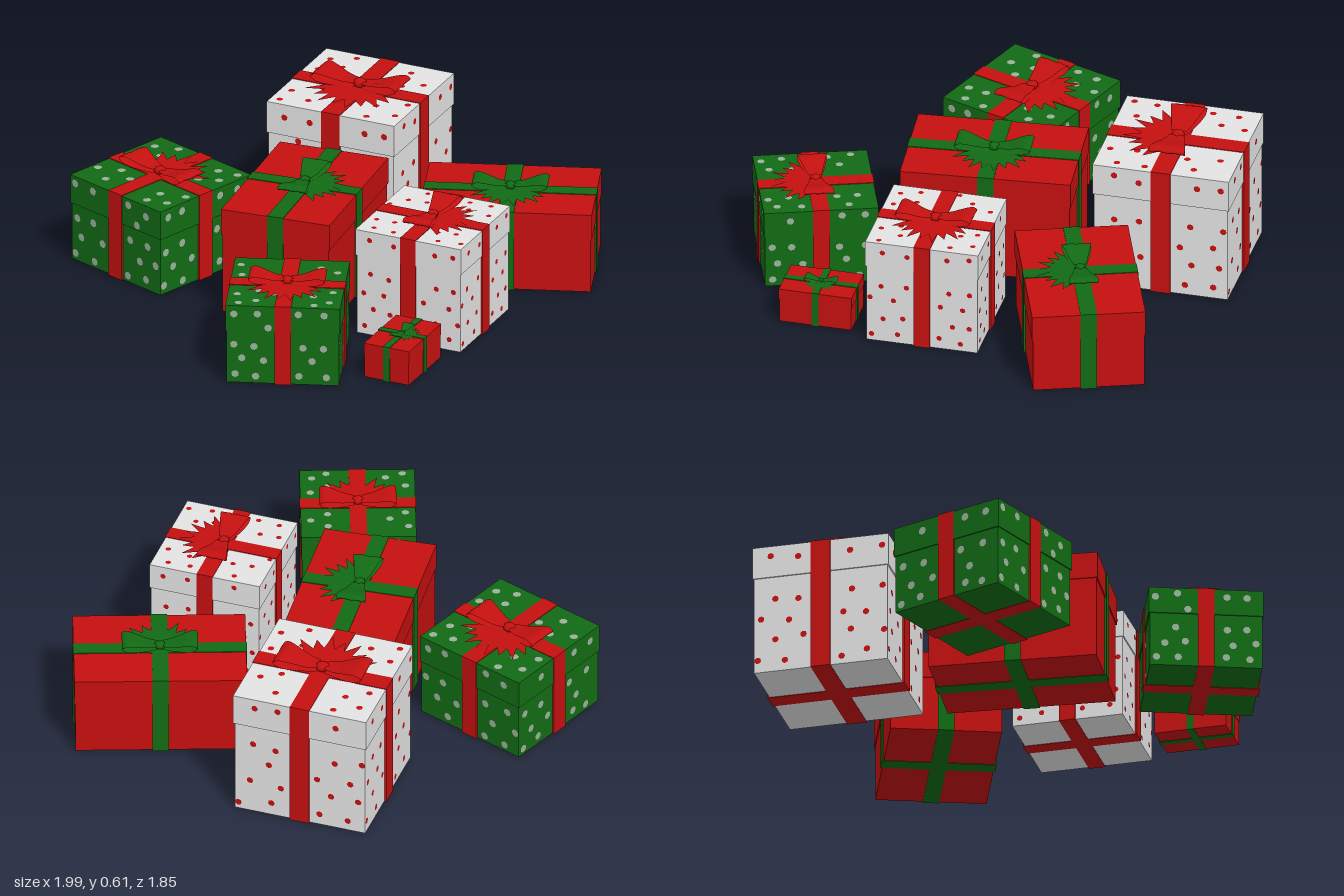
import * as THREE from 'three';
import { mergeGeometries } from 'three/addons/utils/BufferGeometryUtils.js';

const mat = (name, color, side = THREE.FrontSide) => {
  const m = new THREE.MeshStandardMaterial({ color, side });
  m.name = name;
  return m;
};

function seeded(seed) {
  return () => (seed = (seed * 16807) % 2147483647) / 2147483647;
}

function add(group, name, geometry, material, x = 0, y = 0, z = 0) {
  const mesh = new THREE.Mesh(geometry, material);
  mesh.name = name;
  mesh.position.set(x, y, z);
  group.add(mesh);
  return mesh;
}

// Ribbon swept along a profile in the z-y plane, flaring away from the knot
function bowLoopGeometry() {
  const curve = new THREE.CatmullRomCurve3([
    [0.03, 0.05], [0.12, 0.058], [0.23, 0.09], [0.3, 0.1], [0.335, 0.078],
    [0.29, 0.045], [0.18, 0.022], [0.03, 0.02],
  ].map(([z, y]) => new THREE.Vector3(0, y, z)));
  const pos = [], idx = [], n = 18;
  curve.getPoints(n).forEach((p, i) => {
    const half = 0.045 + 0.085 * Math.min(1, p.z / 0.3);
    [-1, -0.4, 0, 0.4, 1].forEach((t, k) => pos.push(t * half, p.y + (k % 2 ? 0.006 : 0), p.z));
    if (i < n) for (let k = 0; k < 4; k++) {
      const a = i * 5 + k;
      idx.push(a, a + 5, a + 1, a + 1, a + 5, a + 6);
    }
  });
  const g = new THREE.BufferGeometry();
  g.setAttribute('position', new THREE.Float32BufferAttribute(pos, 3));
  g.setIndex(idx);
  g.computeVertexNormals();
  return g;
}

// Flat fan of pointed ribbon tails, opening towards +x
function fanGeometry() {
  const shape = new THREE.Shape();
  shape.moveTo(0, 0);
  const tips = 8;
  for (let i = 0; i <= tips * 2; i++) {
    const a = THREE.MathUtils.degToRad(-68 + (136 * i) / (tips * 2));
    const r = i % 2 ? (i % 4 === 1 ? 0.4 : 0.36) : 0.26;
    shape.lineTo(r * Math.cos(a), r * Math.sin(a));
  }
  return new THREE.ShapeGeometry(shape).rotateX(-Math.PI / 2);
}

function makeBow(size, material) {
  const bow = new THREE.Group();
  bow.name = 'bow';
  const loop = bowLoopGeometry();
  add(bow, 'bowLoopFront', loop, material);
  add(bow, 'bowLoopBack', loop, material).rotation.y = Math.PI;
  add(bow, 'bowKnot', new THREE.SphereGeometry(0.05, 10, 6).scale(1, 0.7, 1.1), material, 0, 0.036, 0);
  add(bow, 'bowTails', fanGeometry(), material, 0, 0.014, 0);
  bow.scale.setScalar(size);
  return bow;
}

// Staggered dots on the top and the four sides, clear of ribbon and lid seam
function dotsGeometry(w, h, d, lidH, ribbon, overhang, r, seed) {
  const rand = seeded(seed), parts = [], step = w * 0.2;
  const scatter = (fw, fh, accept, place) => {
    const rows = Math.round(fh / (step * 0.8)), cols = Math.round(fw / step);
    for (let j = 0; j < rows; j++) for (let i = 0; i < cols; i++) {
      const u = ((i + 0.5 + (j % 2 ? 0.22 : -0.22) + (rand() - 0.5) * 0.3) / cols - 0.5) * fw;
      const v = ((j + 0.5 + (rand() - 0.5) * 0.3) / rows) * fh;
      const inside = Math.abs(u) < fw / 2 - r * 1.3 && v > r * 1.3 && v < fh - r * 1.3;
      if (inside && Math.abs(u) > ribbon / 2 + r && accept(v))
        parts.push(place(new THREE.CircleGeometry(r, 7).rotateZ(rand() * 3), u, v));
    }
  };
  scatter(w, d, v => Math.abs(v - d / 2) > ribbon / 2 + r,
    (g, u, v) => g.rotateX(-Math.PI / 2).translate(u, h + 0.001, v - d / 2));
  for (let a = 0; a < 4; a++) {
    const [fw, depth] = a % 2 ? [d, w] : [w, d];
    scatter(fw, h, v => Math.abs(v - (h - lidH)) > r * 1.1, (g, u, v) =>
      g.translate(u, v, depth / 2 + 0.0015 - (v > h - lidH ? 0 : overhang)).rotateY(a * Math.PI / 2));
  }
  return mergeGeometries(parts);
}

function makeGift({ name, x, z, w, d, h, turn, paper, ribbon, dots, dotSize, seed }) {
  const gift = new THREE.Group();
  gift.name = name;
  const lidH = 0.24 * w, overhang = 0.01 * w, band = 0.145 * w, gap = 0.002;
  const bodyH = h - lidH - gap;
  add(gift, 'boxBody', new THREE.BoxGeometry(w - 2 * overhang, bodyH, d - 2 * overhang), paper, 0, gap + bodyH / 2, 0);
  add(gift, 'boxLid', new THREE.BoxGeometry(w, lidH, d), paper, 0, h - lidH / 2, 0);
  // Ribbons wrap right round the box in both directions
  const rh = h + 0.003;
  add(gift, 'ribbonLengthwise', new THREE.BoxGeometry(band, rh, d + 0.005), ribbon, 0, rh / 2, 0);
  add(gift, 'ribbonCrosswise', new THREE.BoxGeometry(w + 0.005, rh, band), ribbon, 0, rh / 2, 0);
  if (dots) add(gift, 'paperDots', dotsGeometry(w, h, d, lidH, band, overhang, dotSize * w, seed), dots);
  const bow = makeBow(w, ribbon);
  bow.position.y = h;
  gift.add(bow);
  gift.position.set(x, 0, z);
  gift.rotation.y = THREE.MathUtils.degToRad(turn);
  return gift;
}

export function createModel() {
  const model = new THREE.Group();
  model.name = 'giftPile';
  const red = mat('red', 0xc41010, THREE.DoubleSide);
  const green = mat('green', 0x126a14, THREE.DoubleSide);
  const white = mat('white', 0xe4e3e4);
  const grey = mat('paleGreyGreen', 0x9bb09b);

  const greenPaper = { paper: green, ribbon: red, dots: grey, dotSize: 0.034 };
  const whitePaper = { paper: white, ribbon: red, dots: red, dotSize: 0.025 };
  const redPaper = { paper: red, ribbon: green };

  [
    { name: 'largeGreenGift', x: -0.435, z: -0.65, w: 0.51, d: 0.51, h: 0.37, turn: 4.8, seed: 11, ...greenPaper },
    { name: 'smallGreenGift', x: -0.674, z: 0.423, w: 0.46, d: 0.46, h: 0.34, turn: 225, seed: 23, ...greenPaper },
    { name: 'largeWhiteGift', x: 0.46, z: -0.476, w: 0.562, d: 0.562, h: 0.55, turn: 204.8, seed: 37, ...whitePaper },
    { name: 'smallWhiteGift', x: 0.013, z: 0.505, w: 0.465, d: 0.465, h: 0.455, turn: -65, seed: 51, ...whitePaper },
    { name: 'middleRedGift', x: -0.163, z: -0.08, w: 0.46, d: 0.69, h: 0.45, turn: -60, ...redPaper },
    { name: 'rightRedGift', x: 0.59, z: 0.302, w: 0.455, d: 0.69, h: 0.34, turn: 225, ...redPaper },
    { name: 'tinyRedGift', x: -0.364, z: 0.767, w: 0.199, d: 0.3, h: 0.15, turn: -65.5, ...redPaper },
  ].forEach(spec => model.add(makeGift(spec)));

  return model;
}
